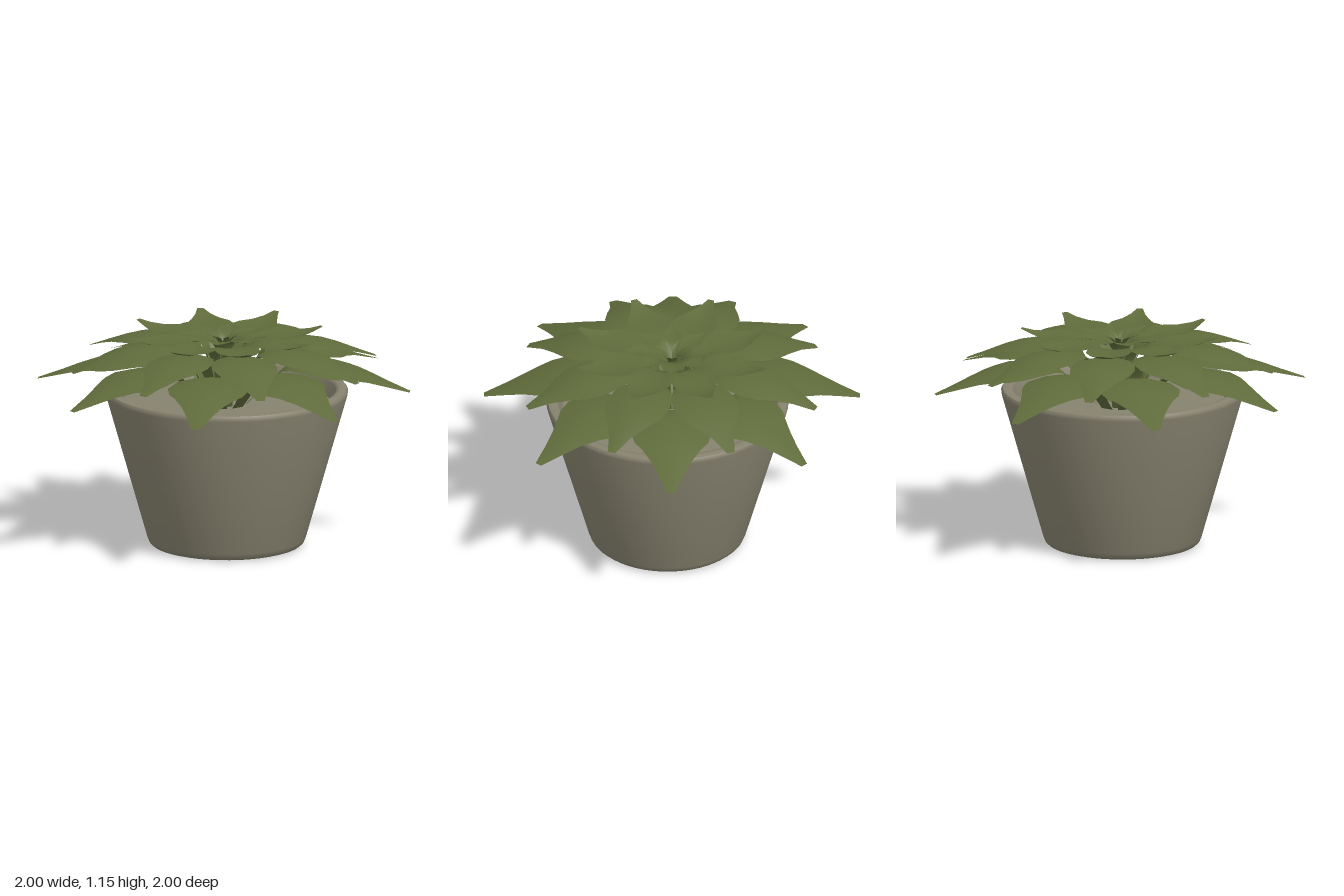
import * as THREE from 'three';
import { toCreasedNormals } from 'three/addons/utils/BufferGeometryUtils.js';

const clay = new THREE.MeshStandardMaterial({ color: 0x87826f });
clay.name = 'stoneGrey';
const green = new THREE.MeshStandardMaterial({ color: 0x5f6b3b, side: THREE.DoubleSide });
green.name = 'leafGreen';

// Leaf pointing along +z, from rows of [radius, height, half width, edge drop]
function leafGeometry(rows) {
  const across = 4, pos = [], index = [];
  rows.forEach(([r, y, w, drop], i) => {
    for (let j = 0; j <= across; j++) {
      const t = (j / across) * 2 - 1;
      pos.push(t * w, y - drop * t * t, r);
      if (i && j) {
        const b = i * (across + 1) + j, a = b - across - 1;
        index.push(a - 1, b - 1, b, a - 1, b, a);
      }
    }
  });
  const g = new THREE.BufferGeometry();
  g.setAttribute('position', new THREE.Float32BufferAttribute(pos, 3));
  g.setIndex(index);
  g.computeVertexNormals();
  return g;
}

// Eight copies of a leaf around the centre
function leafRing(name, rows, offset) {
  const ring = new THREE.Group();
  ring.name = name;
  const geometry = leafGeometry(rows);
  for (let i = 0; i < 8; i++) {
    const leaf = new THREE.Mesh(geometry, green);
    leaf.name = name + 'Leaf';
    leaf.rotation.y = (i + offset) * Math.PI / 4;
    ring.add(leaf);
  }
  return ring;
}

export function createModel() {
  const model = new THREE.Group();
  model.name = 'pottedPlant';

  // Tapered pot with softened foot and rim, slightly off the plant's axis
  const profile = [
    [0, 0], [0.38, 0], [0.4, 0.006], [0.413, 0.018], [0.422, 0.04],
    [0.644, 0.822], [0.645, 0.838], [0.637, 0.85], [0.622, 0.853],
    [0.6, 0.853], [0.587, 0.848], [0.58, 0.835], [0.56, 0.76], [0, 0.76],
  ].map(([x, y]) => new THREE.Vector2(x, y));
  const pot = new THREE.Mesh(toCreasedNormals(new THREE.LatheGeometry(profile, 64), 0.75), clay);
  pot.name = 'pot';
  pot.position.set(0.017, 0, 0.017);
  model.add(pot);

  // Rings of leaves, from the drooping outer ones to the upright heart
  model.add(leafRing('outerRing', [
    [0.12, 0.76, 0.035, 0], [0.22, 0.87, 0.04, 0], [0.32, 0.965, 0.06, 0.005],
    [0.37, 0.995, 0.12, 0.015], [0.45, 1.012, 0.18, 0.03], [0.56, 1.005, 0.215, 0.035],
    [0.64, 0.987, 0.195, 0.03], [0.7, 0.97, 0.155, 0.02], [0.79, 0.94, 0.105, 0.012],
    [0.88, 0.905, 0.065, 0.006], [1, 0.862, 0.02, 0],
  ], 0));
  model.add(leafRing('middleRing', [
    [0.08, 0.76, 0.025, 0], [0.15, 0.93, 0.03, 0], [0.22, 1.05, 0.045, 0.004],
    [0.27, 1.085, 0.1, 0.012], [0.36, 1.1, 0.155, 0.022], [0.46, 1.095, 0.175, 0.028],
    [0.55, 1.08, 0.16, 0.025], [0.63, 1.055, 0.115, 0.015], [0.72, 1.02, 0.06, 0.008],
    [0.83, 0.975, 0.022, 0],
  ], 0.5));
  model.add(leafRing('innerRing', [
    [0.04, 0.8, 0.015, 0], [0.08, 1.0, 0.02, 0], [0.12, 1.08, 0.04, 0],
    [0.18, 1.105, 0.085, -0.01], [0.27, 1.11, 0.12, -0.015], [0.35, 1.108, 0.115, -0.015],
    [0.42, 1.112, 0.075, -0.012], [0.48, 1.13, 0.04, -0.005], [0.535, 1.152, 0.016, 0],
  ], 0.5));
  model.add(leafRing('heartRing', [
    [0.025, 0.95, 0.008, 0], [0.04, 1.06, 0.015, 0], [0.07, 1.11, 0.03, -0.004],
    [0.12, 1.124, 0.06, -0.01], [0.17, 1.126, 0.055, -0.01], [0.21, 1.132, 0.028, -0.005],
    [0.25, 1.142, 0.008, 0],
  ], 0));

  // Small spiky bud at the centre
  model.add(leafRing('budRing', [
    [0.008, 1.04, 0.006, 0], [0.03, 1.1, 0.014, -0.003], [0.06, 1.128, 0.016, -0.004],
    [0.1, 1.148, 0.003, 0],
  ], 0.5));
  return model;
}
